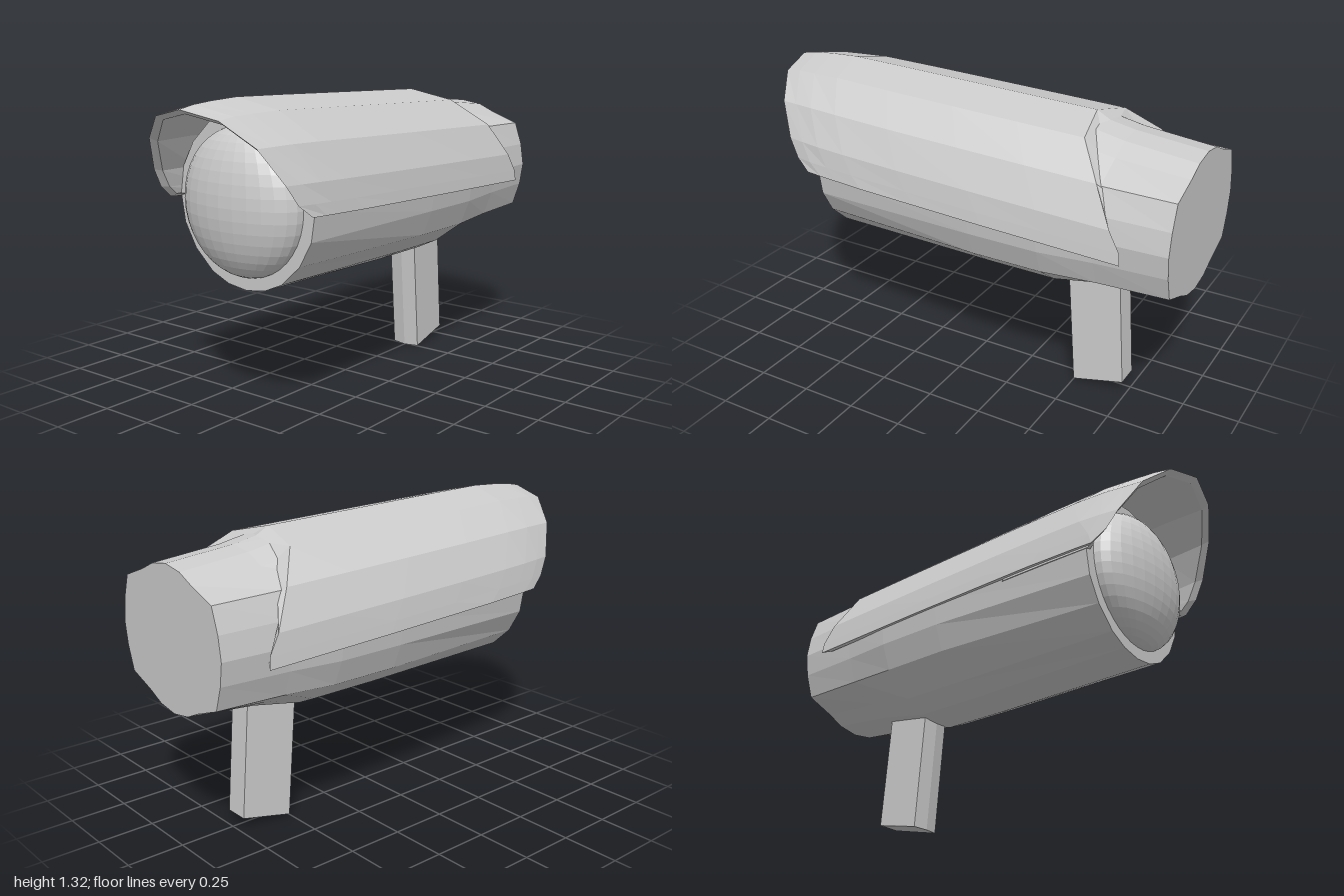
import * as THREE from 'three';

const material = new THREE.MeshStandardMaterial({ color: 0xcccccc, flatShading: true, side: THREE.DoubleSide });
const { lerp } = THREE.MathUtils;

// Skin a list of cross-sections, each a list of [x, y, z] points.
function loft(name, rows, closed) {
  const n = rows[0].length, pos = [];
  const tri = (...p) => p.forEach((q) => pos.push(...q));
  for (let j = 0; j < rows.length - 1; j++) {
    for (let i = 0; i < (closed ? n : n - 1); i++) {
      const k = (i + 1) % n;
      const a = rows[j][i], b = rows[j][k], c = rows[j + 1][k], d = rows[j + 1][i];
      tri(a, b, c);
      tri(a, c, d);
    }
  }
  if (closed) {
    const first = rows[0], last = rows[rows.length - 1];
    const mid = (r) => [0, 1, 2].map((e) => r.reduce((s, p) => s + p[e], 0) / n);
    for (let i = 0; i < n; i++) {
      const k = (i + 1) % n;
      tri(mid(first), first[k], first[i]);
      tri(mid(last), last[i], last[k]);
    }
  }
  const g = new THREE.BufferGeometry();
  g.setAttribute('position', new THREE.Float32BufferAttribute(pos, 3));
  g.computeVertexNormals();
  const mesh = new THREE.Mesh(g, material);
  mesh.name = name;
  return mesh;
}

// Piecewise linear lookup in [x, value] pairs.
function sample(table, x) {
  if (x <= table[0][0]) return table[0][1];
  for (let i = 1; i < table.length; i++) {
    const [x0, v0] = table[i - 1], [x1, v1] = table[i];
    if (x <= x1) return lerp(v0, v1, (x - x0) / (x1 - x0));
  }
  return table[table.length - 1][1];
}

// Lobed tube, defined by quarter sections [z, y] from top to side.
function makeBody() {
  const front = [[0, 0.365], [0.1, 0.351], [0.19, 0.312], [0.285, 0.225], [0.345, 0.12], [0.365, 0]];
  const middle = [[0, 0.38], [0.1, 0.367], [0.2, 0.32], [0.335, 0.222], [0.38, 0.11], [0.395, 0]];
  const rear = [[0, 0.306], [0.1, 0.29], [0.18, 0.253], [0.31, 0.205], [0.345, 0.1], [0.36, 0]];
  const blend = middle.map((p, i) => p.map((v, e) => lerp(v, rear[i][e], 0.6)));
  const ring = (x, q) => {
    const half = [...q, ...q.slice(0, 5).reverse().map(([z, y]) => [z, -y])];
    const all = [...half, ...half.slice(1, -1).reverse().map(([z, y]) => [-z, y])];
    return all.map(([z, y]) => [x, 0.895 + y, z]);
  };
  return loft('body', [ring(-0.66, front), ring(0.13, middle), ring(0.45, middle), ring(0.69, blend), ring(1, rear)], true);
}

// Sun hood: each lengthwise line has its own front and rear end.
function makeHood() {
  // z, height above the lower edge, front x, rear x, then the bevel end x, y, z
  const lines = [
    [0, 0.435, -1, 0.52, 0.61, 1.235, 0],
    [0.2, 0.39, -0.965, 0.56, 0.64, 1.165, 0.17],
    [0.335, 0.275, -0.895, 0.68, 0.71, 1.09, 0.315],
    [0.4, 0.13, -0.815, 0.77, 0.735, 1.0, 0.355],
    [0.41, 0.05, -0.765, 0.82, 0.76, 0.92, 0.365],
    [0.415, 0, -0.7, 0.825, 0.77, 0.865, 0.37],
    [0.375, 0.015, -0.69, 0.8, 0.77, 0.87, 0.365],
  ];
  const widths = [[-1, 0.82], [-0.86, 0.87], [-0.68, 0.945], [-0.4, 0.98], [0.2, 1]];
  const heights = [[-1, 0.91], [-0.9, 0.96], [-0.68, 1]];
  const point = (l, x, k) => [x,
    0.885 + l[1] * sample(heights, x) * k - 0.03 * (x + 0.68),
    l[0] * sample(widths, x) * k];
  const rows = [];
  const addRow = (fn) => {
    const half = lines.map(fn);
    rows.push([...half.slice(1).reverse().map(([x, y, z]) => [x, y, -z]), ...half]);
  };
  // inner skin, running forward to the lip
  for (const t of [0.3, 0.15, 0.02]) addRow((l) => point(l, lerp(l[2], l[3], t), 0.94));
  // outer skin, running back
  for (const t of [0, 0.05, 0.11, 0.2, 0.38, 0.6, 0.8, 1]) addRow((l) => point(l, lerp(l[2], l[3], t), 1));
  // bevel down onto the body
  addRow((l) => l.slice(4));
  return loft('hood', rows, false);
}

// Leaning post with a shallow pointed front edge.
function makeStand() {
  const outline = [[0.5, 0.07], [0.73, 0.055], [0.73, -0.055], [0.5, -0.07], [0.488, 0]];
  const ring = (dx, dy) => outline.map(([x, z]) => [x + dx, 0.055 + 0.21 * (x - 0.73) + dy, z]);
  return loft('stand', [ring(0, 0), ring(-0.044, 0.55)], true);
}

export function createModel() {
  const model = new THREE.Group();
  // lens dome, its rear half sunk in the body
  const dome = new THREE.Mesh(new THREE.SphereGeometry(0.31, 28, 20), material);
  dome.name = 'lensDome';
  dome.scale.x = 0.5;
  dome.position.set(-0.655, 0.895, 0);
  model.add(makeBody(), makeHood(), makeStand(), dome);
  return model;
}
